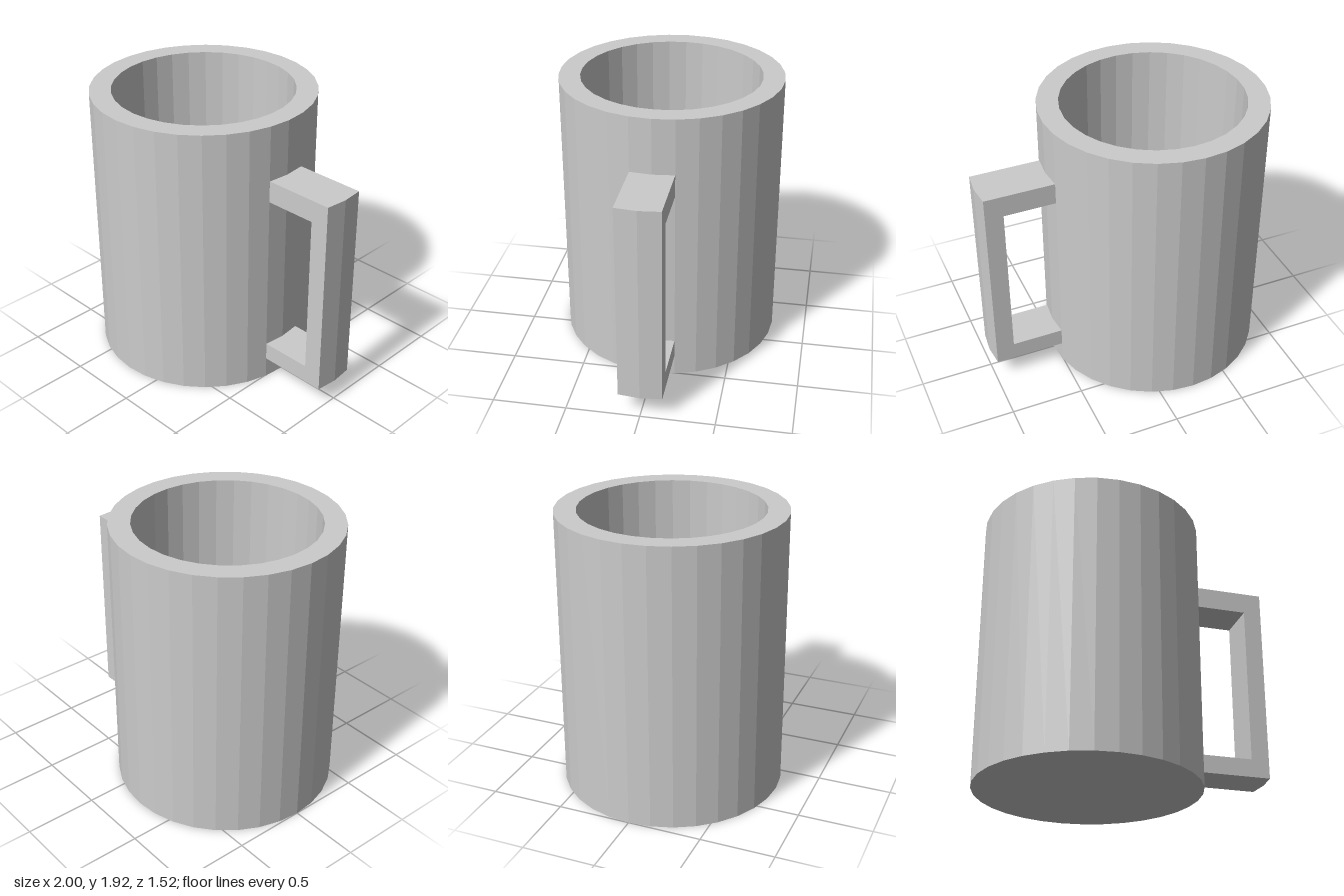
import * as THREE from 'three';

const material = new THREE.MeshStandardMaterial({ color: 0xcccccc, flatShading: true });

// Thick-walled cup: closed profile turned in 32 flat facets
function makeCup() {
  const outer = 0.76, inner = 0.615, height = 1.92, floor = 0.15;
  const profile = [
    [0, 0], [outer, 0], [outer, height], [inner, height], [inner, floor], [0, floor],
  ].map(([x, y]) => new THREE.Vector2(x, y));
  const cup = new THREE.Mesh(new THREE.LatheGeometry(profile, 32), material);
  cup.name = 'cup';
  cup.position.x = -0.24;
  return cup;
}

// C-shaped handle, extruded across z, with a slightly pointed grip face
function makeHandle() {
  const width = 0.296, root = 0.505, edge = 0.985, tip = 1;
  const outline = [
    [root, 0.15], [edge, 0.15], [edge, 1.54], [root, 1.54],
    [root, 1.39], [0.86, 1.39], [0.86, 0.275], [root, 0.275],
  ].map(([x, y]) => new THREE.Vector2(x, y));
  const geometry = new THREE.ExtrudeGeometry(new THREE.Shape(outline), {
    depth: width, steps: 2, bevelEnabled: false,
  });
  geometry.translate(0, 0, -width / 2);

  // Push the middle of the outer face out to form the shallow ridge
  const p = geometry.attributes.position;
  for (let i = 0; i < p.count; i++) {
    if (Math.abs(p.getZ(i)) < 0.01 && p.getX(i) > edge - 0.01) p.setX(i, tip);
  }
  geometry.computeVertexNormals();

  const handle = new THREE.Mesh(geometry, material);
  handle.name = 'handle';
  return handle;
}

export function createModel() {
  const mug = new THREE.Group();
  mug.name = 'mug';
  mug.add(makeCup(), makeHandle());
  return mug;
}
